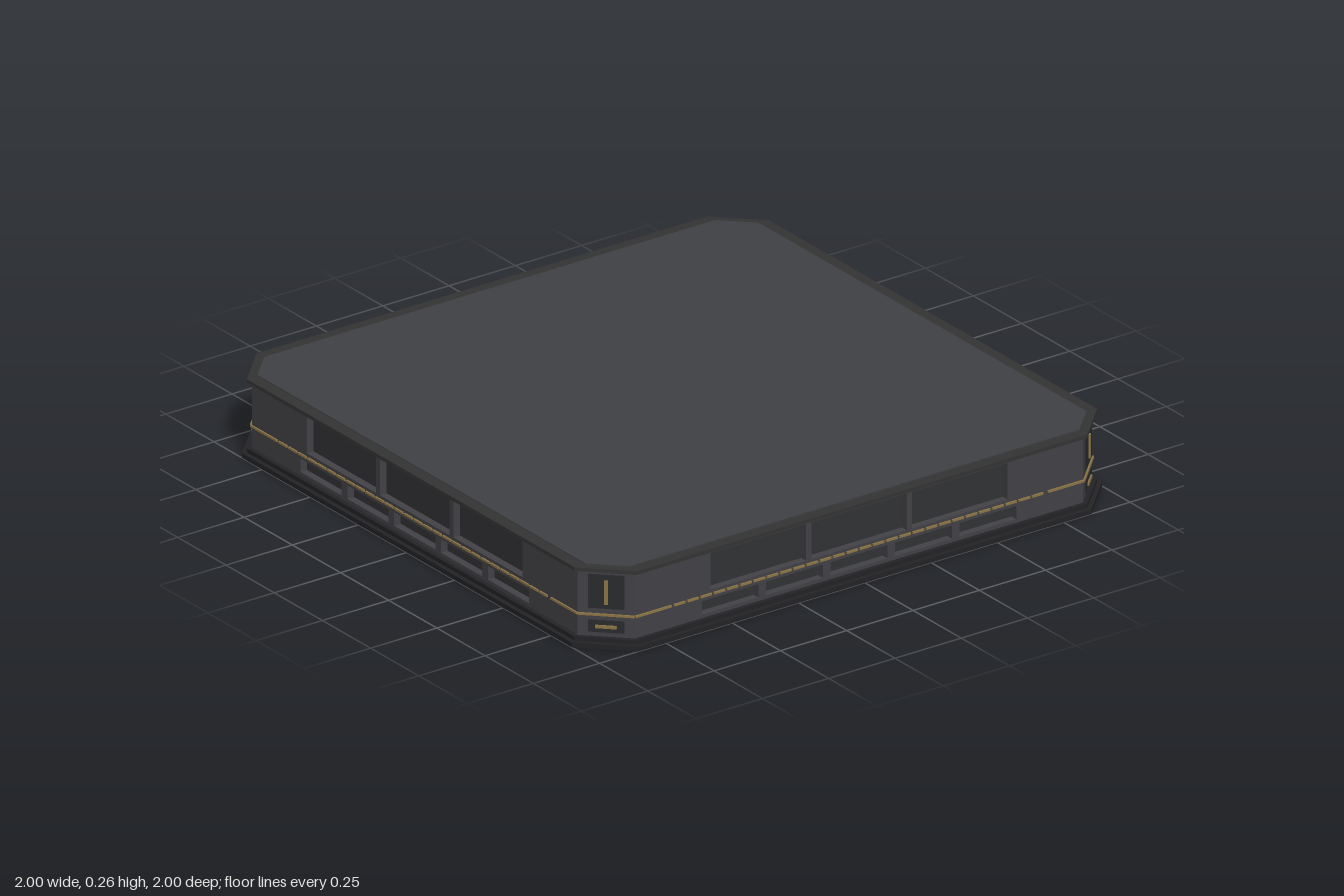
import * as THREE from 'three';

const mat = (color) => new THREE.MeshStandardMaterial({ color });
const light = mat(0x424247), top = mat(0x404145), panel = mat(0x313234);
const dark = mat(0x2a2b2d), rim = mat(0x343434), base = mat(0x232326), gold = mat(0x8c7546);

const FACE = 0.97, SPAN = 0.845, Y0 = 0.03, Y1 = 0.25;

function add(parent, name, geometry, material) {
  const mesh = new THREE.Mesh(geometry, material);
  mesh.name = name;
  parent.add(mesh);
  return mesh;
}

// Box given by its limits
function box(parent, name, [x0, x1], [y0, y1], [z0, z1], material) {
  const g = new THREE.BoxGeometry(x1 - x0, y1 - y0, z1 - z0);
  g.translate((x0 + x1) / 2, (y0 + y1) / 2, (z0 + z1) / 2);
  return add(parent, name, g, material);
}

// Upright prism over an outline of [x, z] points
function prism(parent, name, points, y0, y1, material) {
  const shape = new THREE.Shape(points.map(([x, z]) => new THREE.Vector2(x, -z)));
  const g = new THREE.ExtrudeGeometry(shape, { depth: y1 - y0, bevelEnabled: false });
  g.rotateX(-Math.PI / 2).translate(0, y0, 0);
  return add(parent, name, g, material);
}

// Square outline with cut corners
const octagon = (h, c) => [[-c, h], [c, h], [h, c], [h, -c], [c, -h], [-c, -h], [-h, -c], [-h, c]];

function rectPoints([x0, x1], [y0, y1]) {
  return [[x0, y0], [x1, y0], [x1, y1], [x0, y1]].map(([x, y]) => new THREE.Vector2(x, y));
}

// Wall with rectangular openings, its outer face at z = FACE
function wall(parent, name, ys, openings, depth, material) {
  const shape = new THREE.Shape(rectPoints([-SPAN, SPAN], ys));
  for (const [xs, y] of openings) shape.holes.push(new THREE.Path(rectPoints(xs, y).reverse()));
  const g = new THREE.ExtrudeGeometry(shape, { depth, bevelEnabled: false });
  g.translate(0, 0, FACE - depth);
  add(parent, name, g, material);
}

// Side with three upper panels, five lower panels and a gold strip
function panelSide() {
  const side = new THREE.Group();
  side.name = 'panelSide';
  const openings = [];
  for (const i of [-1, 0, 1]) openings.push([[i * 0.38 - 0.18, i * 0.38 + 0.18], [0.117, 0.24]]);
  for (const i of [-2, -1, 0, 1, 2]) openings.push([[i * 0.243 - 0.107, i * 0.243 + 0.107], [0.042, 0.087]]);
  wall(side, 'panelFrame', [Y0, Y1], openings, 0.03, light);
  for (const [xs, ys] of openings) box(side, 'recessedPanel', xs, ys, [0.935, 0.945], panel);
  for (const s of [-1, 1]) {
    const ends = [s * 0.71, s * SPAN].sort((a, b) => a - b);
    box(side, 'goldStripEnd', ends, [0.1, 0.107], [FACE - 0.005, FACE + 0.006], gold);
  }
  // Broken middle part of the strip
  for (let i = 0; i < 28; i++) {
    const x = -0.7 + i * 0.05;
    box(side, 'goldStripDash', [x, x + 0.042], [0.1, 0.107], [FACE - 0.005, FACE + 0.006], gold);
  }
  return side;
}

// Side with one long shelf and three small ones, mirrored by s
function shelfSide(s) {
  const side = new THREE.Group();
  side.name = 'shelfSide';
  const depth = 0.13;
  const spans = [[-0.8, -0.205], [0.225, 0.42], [0.44, 0.61], [0.625, 0.83]];
  spans[0][1] = 0.205;
  const niches = spans.map(([a, b]) => [s > 0 ? [a, b] : [-b, -a], [0.045, 0.165]]);
  wall(side, 'shelfFrame', [Y0, 0.17], niches, depth, dark);
  const slot = [[-0.595, 0.595], [0.178, 0.238]];
  wall(side, 'upperFrame', [0.17, Y1], [slot], depth, light);
  box(side, 'upperPanel', ...slot, [FACE - depth, FACE - 0.015], panel);
  return side;
}

// Cut corner with dark plates and gold inlays
function corner() {
  const g = new THREE.Group();
  g.name = 'corner';
  const z = (FACE + SPAN) / Math.SQRT2, w = (FACE - SPAN) / Math.SQRT2;
  prism(g, 'cornerPost', [[-w, z], [w, z], [0, z - w]], Y0, Y1, light);
  box(g, 'upperPlate', [-0.056, 0.056], [0.125, 0.238], [z - 0.01, z + 0.004], dark);
  box(g, 'lowerPlate', [-0.056, 0.056], [0.045, 0.085], [z - 0.01, z + 0.004], dark);
  box(g, 'goldUpright', [-0.006, 0.006], [0.14, 0.22], [z, z + 0.009], gold);
  box(g, 'goldBar', [-0.033, 0.033], [0.06, 0.07], [z, z + 0.009], gold);
  box(g, 'goldStrip', [-w, w], [0.1, 0.107], [z - 0.005, z + 0.006], gold);
  return g;
}

export function createModel() {
  const model = new THREE.Group();
  model.name = 'platform';

  // Stepped plinth, core and top
  prism(model, 'plinth', octagon(1, 0.855), 0, 0.016, base);
  prism(model, 'plinthStep', octagon(0.985, 0.85), 0.016, Y0, base);
  const core = [[-0.94, SPAN], [-SPAN, 0.94], [0.84, 0.94], [0.84, -0.84], [-0.94, -0.84]];
  prism(model, 'core', core, Y0, Y1, panel);
  prism(model, 'topRim', octagon(0.985, 0.85), Y1, 0.262, rim);
  prism(model, 'topSurface', octagon(0.945, 0.85), 0.26, 0.265, top);

  // Front and right carry panels, the other two carry shelves
  const sides = [panelSide(), shelfSide(1), shelfSide(-1), panelSide()];
  sides.forEach((side, i) => {
    side.rotation.y = i * Math.PI / 2;
    model.add(side);
    const c = corner();
    c.rotation.y = (i + 0.5) * Math.PI / 2;
    model.add(c);
  });
  return model;
}
